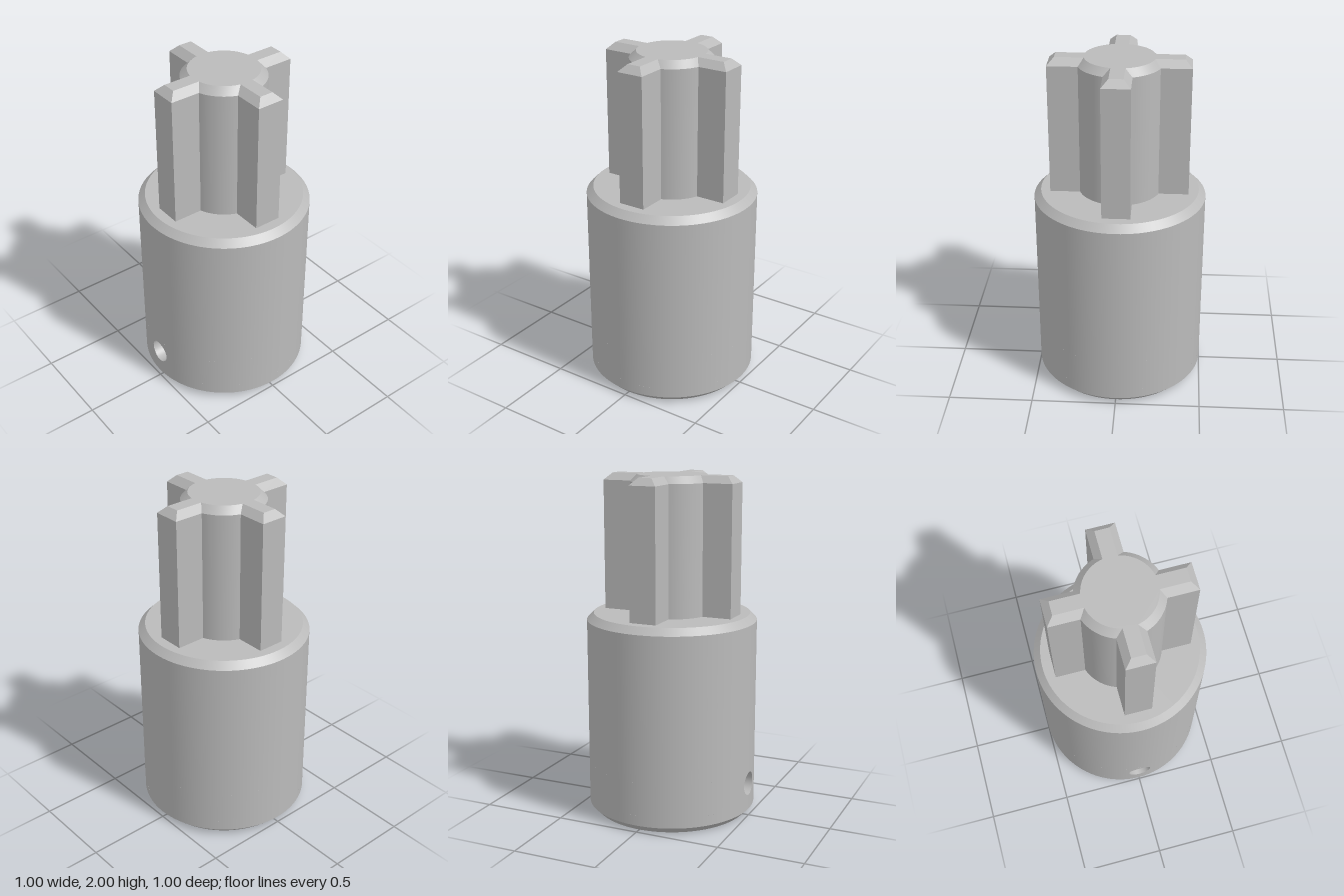
import * as THREE from 'three';
import { toCreasedNormals } from 'three/addons/utils/BufferGeometryUtils.js';

const SEG = 96;
const BODY_R = 0.5, BORE_R = 0.13, BORE_TOP = 1.0;
const HOLE_R = 0.07, HOLE_Y = 0.2, PATCH = 0.1;
const TRAP = { halfWidth: 0.13, back: 0.29, front: 0.385, top: 0.33 };

export function createModel() {
  const group = new THREE.Group();
  const grey = new THREE.MeshStandardMaterial({ color: 0xbababa, side: THREE.DoubleSide });
  grey.name = 'plain grey';

  const add = (name, geometry, x = 0, y = 0, z = 0) => {
    const mesh = new THREE.Mesh(geometry, grey);
    mesh.name = name;
    mesh.position.set(x, y, z);
    group.add(mesh);
    return mesh;
  };

  // Open band of a cylinder or cone between two heights
  const band = (name, rLow, rHigh, y0, y1, start = 0, sweep = Math.PI * 2) =>
    add(name, new THREE.CylinderGeometry(rHigh, rLow, y1 - y0, SEG, 1, true, start, sweep), 0, (y0 + y1) / 2, 0);

  // Cylinder wall pierced by the round screw hole on its +z side
  const piercedWall = (name, r, y0, y1) => {
    const half = Math.asin(PATCH / r);
    band(name + 'Lower', r, r, y0, HOLE_Y - PATCH);
    band(name + 'Middle', r, r, HOLE_Y - PATCH, HOLE_Y + PATCH, half, Math.PI * 2 - 2 * half);
    band(name + 'Upper', r, r, HOLE_Y + PATCH, y1);
    const g = new THREE.PlaneGeometry(1, 1, 48, 4);
    const p = g.attributes.position, n = g.attributes.normal;
    for (let i = 0; i < p.count; i++) {
      const a = -(p.getX(i) + 0.5) * Math.PI * 2, t = p.getY(i) + 0.5;
      const c = Math.cos(a), s = Math.sin(a);
      const square = PATCH / Math.max(Math.abs(c), Math.abs(s));
      const d = HOLE_R + (square - HOLE_R) * t;
      const x = d * c, z = Math.sqrt(r * r - x * x);
      p.setXYZ(i, x, HOLE_Y + d * s, z);
      n.setXYZ(i, x / r, 0, z / r);
    }
    add(name + 'HoleSurround', g);
  };

  // Screw hole lining; each end lies at a depth given by x
  const tunnel = (name, backAt, frontAt) => {
    const g = new THREE.CylinderGeometry(HOLE_R, HOLE_R, 1, 48, 1, true).rotateX(Math.PI / 2);
    const p = g.attributes.position;
    for (let i = 0; i < p.count; i++) p.setZ(i, p.getZ(i) > 0 ? frontAt(p.getX(i)) : backAt(p.getX(i)));
    add(name, g, 0, HOLE_Y, 0);
  };

  const circlePath = (r, y = 0) => new THREE.Path().absarc(0, y, r, 0, Math.PI * 2, true);
  const rectangle = (PathType, x0, x1, y0, y1) => new PathType([
    new THREE.Vector2(x0, y0), new THREE.Vector2(x1, y0),
    new THREE.Vector2(x1, y1), new THREE.Vector2(x0, y1),
  ]);

  // Body with chamfered rims
  band('bottomChamfer', 0.46, BODY_R, 0, 0.04);
  piercedWall('bodyWall', BODY_R, 0.04, 1.16);
  band('topChamfer', BODY_R, 0.46, 1.16, 1.2);
  add('bodyTop', new THREE.CircleGeometry(0.46, SEG).rotateX(-Math.PI / 2), 0, 1.2, 0);

  // Underside with bore and nut slot openings
  const base = new THREE.Shape().absarc(0, 0, 0.46, 0, Math.PI * 2);
  base.holes.push(circlePath(BORE_R));
  base.holes.push(rectangle(THREE.Path, -TRAP.halfWidth, TRAP.halfWidth, TRAP.back, TRAP.front));
  add('bodyBottom', new THREE.ShapeGeometry(base, 48).rotateX(Math.PI / 2));

  // Blind centre bore
  piercedWall('bore', BORE_R, 0, BORE_TOP);
  add('boreEnd', new THREE.CircleGeometry(BORE_R, SEG).rotateX(Math.PI / 2), 0, BORE_TOP, 0);

  // Nut slot
  const slotSide = rectangle(THREE.Shape, -TRAP.halfWidth, TRAP.halfWidth, 0, TRAP.top);
  slotSide.holes.push(circlePath(HOLE_R, HOLE_Y));
  const depth = TRAP.front - TRAP.back, mid = (TRAP.front + TRAP.back) / 2;
  add('nutSlotBack', new THREE.ShapeGeometry(slotSide, 24), 0, 0, TRAP.back);
  add('nutSlotFront', new THREE.ShapeGeometry(slotSide, 24).scale(-1, 1, -1), 0, 0, TRAP.front);
  for (const s of [-1, 1]) {
    add('nutSlotEnd', new THREE.PlaneGeometry(depth, TRAP.top).rotateY(-s * Math.PI / 2),
      s * TRAP.halfWidth, TRAP.top / 2, mid);
  }
  add('nutSlotRoof', new THREE.PlaneGeometry(TRAP.halfWidth * 2, depth).rotateX(Math.PI / 2), 0, TRAP.top, mid);

  // Screw hole from the outside through the slot to the bore
  const onWall = (r) => (x) => Math.sqrt(r * r - x * x);
  tunnel('screwHoleOuter', () => TRAP.front, onWall(BODY_R));
  tunnel('screwHoleInner', onWall(BORE_R), () => TRAP.back);

  // Outline of the round core with four ribs
  const section = (r, w, tip) => {
    const points = [], a = Math.asin(w / r), steps = 16;
    for (let k = 0; k < 4; k++) {
      const quarter = [new THREE.Vector2(tip, -w), new THREE.Vector2(tip, w)];
      for (let i = 0; i <= steps; i++) {
        const t = a + (Math.PI / 2 - 2 * a) * i / steps;
        quarter.push(new THREE.Vector2(r * Math.cos(t), r * Math.sin(t)));
      }
      for (const q of quarter) points.push(q.rotateAround(new THREE.Vector2(), k * Math.PI / 2));
    }
    return points;
  };

  // Ribbed shaft: straight sides, then a chamfer to the smaller top
  const wide = section(0.24, 0.08, 0.4), narrow = section(0.2, 0.04, 0.36);
  const rings = [[wide, 1.2], [wide, 1.96], [narrow, 2]];
  const count = wide.length, verts = [], index = [];
  rings.forEach(([ring, y], j) => ring.forEach((q, i) => {
    verts.push(q.x, y, -q.y);
    if (j === 0) return;
    const a = (j - 1) * count + i, b = (j - 1) * count + (i + 1) % count;
    index.push(a, b, b + count, a, b + count, a + count);
  }));
  const shaft = new THREE.BufferGeometry();
  shaft.setAttribute('position', new THREE.Float32BufferAttribute(verts, 3));
  shaft.setIndex(index);
  add('ribbedShaft', toCreasedNormals(shaft, 0.5));
  add('shaftTop', new THREE.ShapeGeometry(new THREE.Shape(narrow)).rotateX(-Math.PI / 2), 0, 2, 0);

  return group;
}
